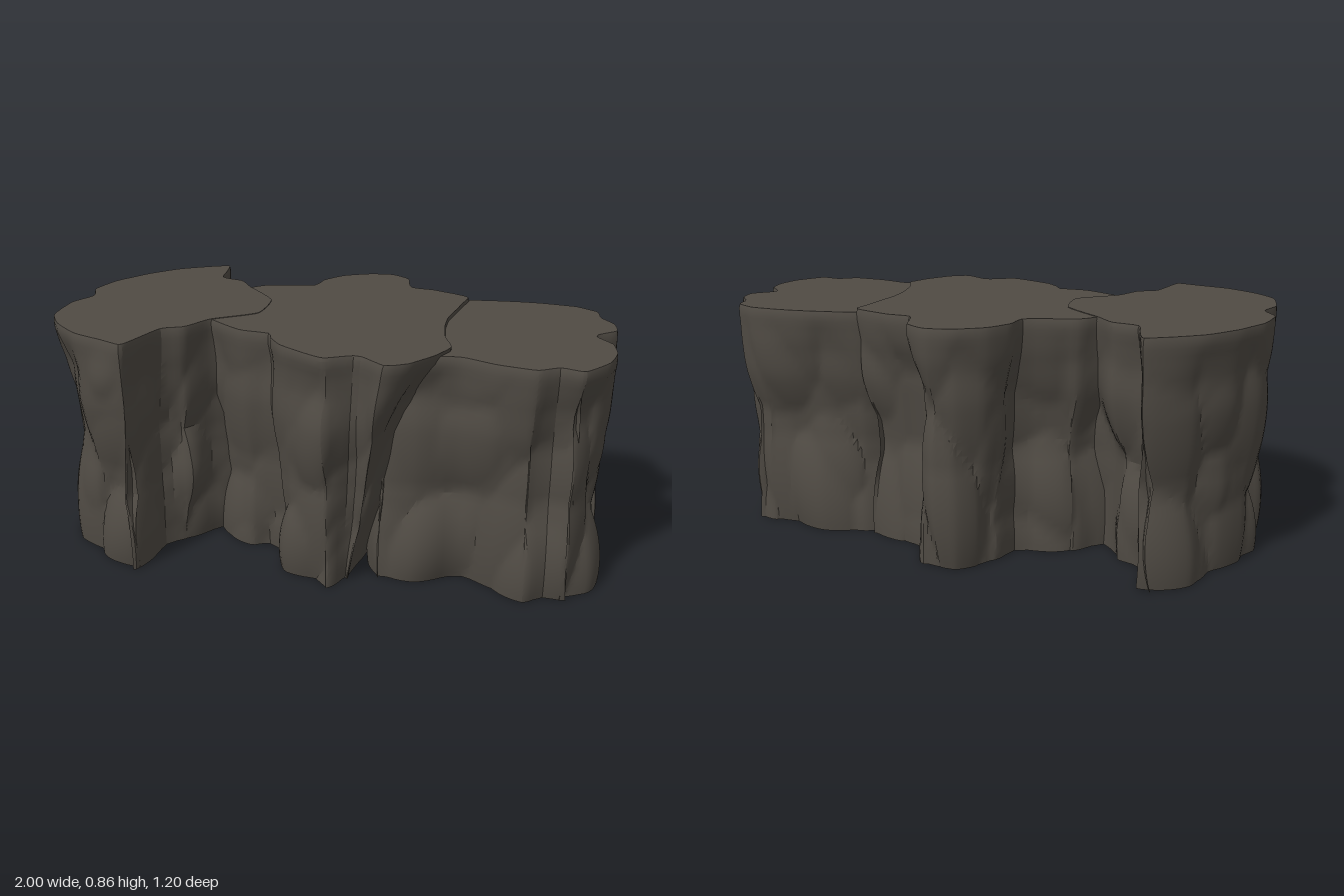
import * as THREE from 'three';
import { toCreasedNormals } from 'three/addons/utils/BufferGeometryUtils.js';

const stone = new THREE.MeshStandardMaterial({ color: 0x504b44 });
stone.name = 'dark stone';

// Small seeded random generator
function seeded(seed) {
  let s = seed;
  return () => {
    s = (s * 16807) % 2147483647;
    return s / 2147483647;
  };
}

// Plan outlines as [x, z]; neighbouring blocks overlap inside the cliff
const crescent = [
  [-0.41, -0.27], [-0.47, -0.36], [-0.56, -0.4], [-0.58, -0.5], [-0.605, -0.6], [-0.7, -0.56],
  [-0.8, -0.5], [-0.9, -0.38], [-0.97, -0.25], [-1, -0.1], [-0.965, 0], [-1, 0.1],
  [-0.99, 0.28], [-0.93, 0.39], [-0.82, 0.49], [-0.7, 0.54], [-0.605, 0.58], [-0.57, 0.48],
  [-0.54, 0.37], [-0.47, 0.33], [-0.41, 0.22], [-0.27, 0.1], [-0.27, -0.1],
];
const centre = [
  [-0.42, -0.26], [-0.36, -0.32], [-0.18, -0.36], [-0.16, -0.45], [-0.1, -0.54], [0, -0.6],
  [0.1, -0.605], [0.18, -0.54], [0.21, -0.41], [0.3, -0.39], [0.4, -0.34], [0.45, -0.29],
  [0.41, 0], [0.43, 0.22], [0.47, 0.35], [0.43, 0.46], [0.36, 0.56], [0.28, 0.6], [0.18, 0.52],
  [0.08, 0.57], [0, 0.53], [-0.1, 0.46], [-0.15, 0.39], [-0.17, 0.34], [-0.28, 0.32],
  [-0.42, 0.22], [-0.55, 0.1], [-0.55, -0.1],
];
const lowBlock = [
  [0.25, -0.2], [0.43, -0.31], [0.6, -0.335], [0.72, -0.33], [0.85, -0.31], [0.93, -0.25],
  [0.945, -0.17], [0.99, -0.1], [1, 0], [0.93, 0.07], [0.985, 0.15], [1, 0.26],
  [0.98, 0.37], [0.9, 0.485], [0.82, 0.46], [0.75, 0.5], [0.62, 0.47], [0.5, 0.42],
  [0.36, 0.45], [0.2, 0.45], [0.12, 0.2],
];

// How far the wall steps back at each height: [height fraction, inset]
const profile = [[0, 0.035], [0.2, 0.04], [0.42, 0.045], [0.7, 0.008], [0.85, 0], [0.98, 0], [1, 0.006]];
function insetAt(t) {
  const k = Math.max(1, profile.findIndex((p) => p[0] >= t));
  const [t0, a] = profile[k - 1], [t1, b] = profile[k];
  return a + ((b - a) * (t - t0)) / (t1 - t0);
}

// Rock wall: an outline raised in rows, its surface swelling into lumps that meet in creases.
// bosses are chosen lumps [x, y, z, radius, rise]; the rest are scattered.
function rockBlock(name, outline, top, seed, bosses, lean = () => [0, 0]) {
  const rand = seeded(seed);
  const plan = outline.map(([x, z]) => new THREE.Vector2(x, -z));
  if (THREE.ShapeUtils.isClockWise(plan)) plan.reverse();
  const curve = new THREE.CatmullRomCurve3(
    plan.map((p) => new THREE.Vector3(p.x, p.y, 0)), true, 'catmullrom', 0.25);
  const n = 160, rows = 34;
  curve.arcLengthDivisions = 1200;
  const ring = curve.getSpacedPoints(n).slice(0, n);

  const lumps = bosses.map(([x, y, z, r, rise]) => ({ x, y, z: -z, r, back: -rise }));
  for (let i = 0; i < 60; i++) {
    const p = ring[Math.floor(rand() * n)];
    lumps.push({ x: p.x, y: rand() * top, z: p.y, r: 0.12 + rand() * 0.08, back: rand() * 0.025 });
  }

  const positions = [], index = [];
  for (let j = 0; j <= rows; j++) {
    const t = j === rows ? 1 : (j / (rows - 1)) * 0.985;
    const y = t * top;
    const rough = t > 0.82 ? Math.max(0.12, 1 - (t - 0.82) * 6) : 1;
    ring.forEach((p, i) => {
      const a = ring[(i + n - 1) % n], b = ring[(i + 1) % n];
      const nx = b.y - a.y, ny = a.x - b.x, len = Math.hypot(nx, ny) || 1;
      let lump = 0.055;
      for (const l of lumps) {
        const slant = 0.25 * (y - l.y);
        const d = Math.hypot(p.x - l.x - slant, p.y - l.z, (y - l.y) * 0.65) / l.r;
        lump = Math.min(lump, l.back + 0.04 * d * d);
      }
      const facing = 0.35 + 0.65 * Math.abs(ny / len);
      const inset = insetAt(t) * facing + lump * rough;
      const x = p.x - (nx / len) * inset, z = -(p.y - (ny / len) * inset);
      const [dx, dz] = lean(x, z, 1 - t);
      positions.push(x + dx, y, z + dz);
    });
  }
  for (let j = 0; j < rows; j++) {
    for (let i = 0; i < n; i++) {
      const a = j * n + i, b = j * n + ((i + 1) % n), c = b + n, d = a + n;
      index.push(a, b, c, a, c, d);
    }
  }
  // Flat top and underside
  for (const o of [0, rows * n]) {
    const rim = ring.map((_, i) => new THREE.Vector2(
      positions[(o + i) * 3], -positions[(o + i) * 3 + 2]));
    for (const [a, b, c] of THREE.ShapeUtils.triangulateShape(rim, [])) {
      if (o) index.push(o + a, o + b, o + c);
      else index.push(a, c, b);
    }
  }
  const geo = new THREE.BufferGeometry();
  geo.setAttribute('position', new THREE.Float32BufferAttribute(positions, 3));
  geo.setIndex(index);
  const mesh = new THREE.Mesh(toCreasedNormals(geo, 0.5), stone);
  mesh.name = name;
  return mesh;
}

export function createModel() {
  const group = new THREE.Group();
  group.name = 'rockCliff';

  // Front corner of the centre block undercuts toward its foot
  const undercut = (x, z, down) => {
    const k = z > 0.2 ? down * THREE.MathUtils.smoothstep(x, 0.05, 0.45) : 0;
    return [-0.24 * k, -0.16 * k];
  };

  group.add(
    rockBlock('crescentBlock', crescent, 0.855, 311, [
      [-0.7, 0.72, 0.54, 0.1, 0.01], [-0.7, 0.1, 0.53, 0.12, 0.015],
      [-0.72, 0.1, -0.54, 0.14, 0.015], [-0.98, 0.12, 0.18, 0.16, 0.005],
      [-0.98, 0.5, -0.18, 0.18, 0.005], [-0.45, 0.3, 0.3, 0.1, 0.02],
    ]),
    rockBlock('centreBlock', centre, 0.853, 1277, [
      [0.02, 0.5, 0.53, 0.13, 0.015], [-0.1, 0.1, 0.45, 0.12, 0.02],
      [0.28, 0.7, 0.59, 0.12, 0], [0.05, 0.25, -0.6, 0.16, 0.01], [-0.28, 0.2, -0.34, 0.12, 0.01],
    ], undercut),
    rockBlock('lowBlock', lowBlock, 0.84, 5923, [
      [0.99, 0.06, 0.28, 0.14, 0.015], [0.98, 0.72, -0.06, 0.1, 0.005],
      [0.96, 0.2, -0.14, 0.14, 0], [0.78, 0.1, 0.47, 0.13, 0.015],
      [0.4, 0.12, 0.44, 0.12, 0.015], [0.6, 0.1, -0.33, 0.14, 0.01],
    ]),
  );
  return group;
}
